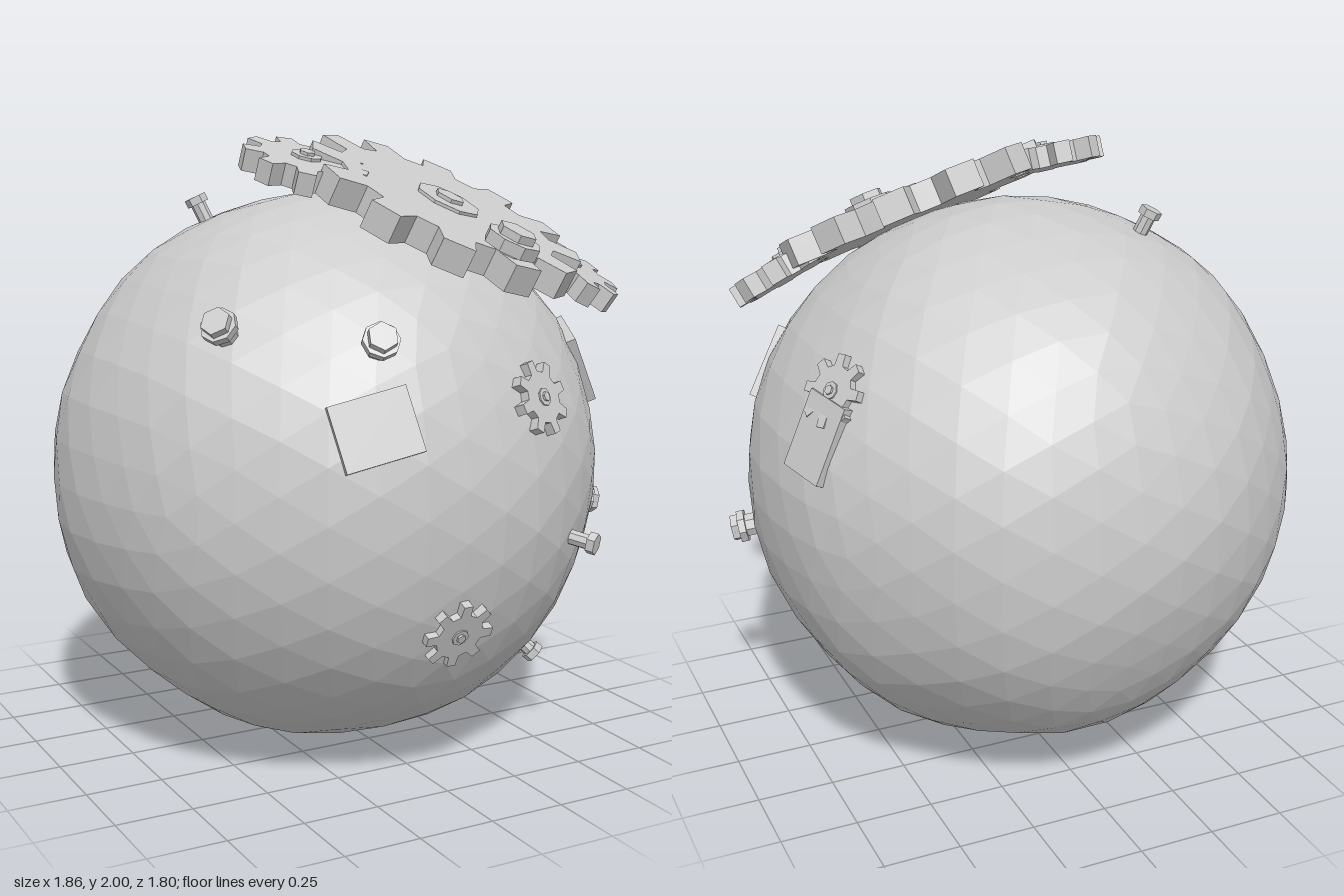
import * as THREE from 'three';

const CENTRE = new THREE.Vector3(-0.035, 0.91, 0);
const MAT = new THREE.MeshStandardMaterial({ color: 0xcccccc, flatShading: true });

function mesh(name, geometry, parent) {
  const m = new THREE.Mesh(geometry, MAT);
  m.name = name;
  parent.add(m);
  return m;
}

// Group at a point whose local +z follows the given normal, spun about it
function mount(name, pos, normal, spin, parent) {
  const g = new THREE.Group();
  g.name = name;
  g.position.set(...pos);
  g.lookAt(g.position.clone().add(new THREE.Vector3(...normal)));
  g.rotateZ(spin);
  parent.add(g);
  return g;
}

// Same, but placed on the body along a direction from its centre
function mountRadial(name, dir, dist, spin, parent) {
  const n = new THREE.Vector3(...dir).normalize();
  return mount(name, n.clone().multiplyScalar(dist).add(CENTRE).toArray(), n.toArray(), spin, parent);
}

// Prism along local z, from z0 to z1
function prism(name, r, sides, z0, z1, parent) {
  const geo = new THREE.CylinderGeometry(r, r, z1 - z0, sides);
  geo.rotateX(Math.PI / 2).translate(0, 0, (z0 + z1) / 2);
  return mesh(name, geo, parent);
}

// Square-toothed wheel, top face at local z = 0, one tooth along local +y
function gearGeometry(outer, root, teeth, width, thick) {
  const shape = new THREE.Shape();
  for (let i = 0; i < teeth; i++) {
    const a = Math.PI / 2 + (i / teeth) * Math.PI * 2;
    const half = width / 2;
    const corners = [[root, -half * 1.05], [outer, -half * 0.9], [outer, half * 0.9], [root, half * 1.05]];
    corners.forEach(([r, t], k) => {
      const x = r * Math.cos(a) - t * Math.sin(a);
      const y = r * Math.sin(a) + t * Math.cos(a);
      if (i === 0 && k === 0) shape.moveTo(x, y);
      else shape.lineTo(x, y);
    });
  }
  shape.closePath();
  const geo = new THREE.ExtrudeGeometry(shape, { depth: thick, bevelEnabled: false });
  return geo.translate(0, 0, -thick);
}

export function createModel() {
  const model = new THREE.Group();
  model.name = 'gearedSphere';

  // Lumpy faceted body
  const ball = new THREE.IcosahedronGeometry(1, 6);
  const p = ball.attributes.position;
  const v = new THREE.Vector3();
  for (let i = 0; i < p.count; i++) {
    v.fromBufferAttribute(p, i).normalize();
    const lump = Math.sin(7 * v.x + 3 * v.y) * Math.sin(6 * v.y - 4 * v.z) + Math.sin(9 * v.z + 5 * v.x + 1);
    v.multiplyScalar(0.909 + 0.005 * lump).add(CENTRE);
    p.setXYZ(i, v.x, v.y, v.z);
  }
  ball.computeVertexNormals();
  mesh('body', ball, model);

  // Large crown gear with stepped hub
  const big = mountRadial('largeGear', [0.257, 0.898, 0.364], 0.987, 0, model);
  mesh('largeGearWheel', gearGeometry(0.465, 0.365, 12, 0.115, 0.09), big);
  prism('largeGearWasher', 0.11, 8, -0.01, 0.01, big);
  prism('largeGearNut', 0.05, 6, 0, 0.022, big);

  // Bolt standing on the rim of the large gear
  const rimBolt = mount('rimBolt', [0.225, 1.675, 0.705], [0.257, 0.898, 0.364], 0, model);
  prism('rimBoltShaft', 0.05, 8, -0.1, 0.01, rimBolt);
  prism('rimBoltFlange', 0.088, 8, -0.01, 0.03, rimBolt);
  prism('rimBoltHead', 0.062, 6, 0.02, 0.055, rimBolt);

  // Two medium gears meshing with the large one
  const medium = [
    ['leftMediumGear', [0.64, 1.6, 0.43], [0.38, 0.84, 0.39], 0.2],
    ['rightMediumGear', [-0.225, 1.935, 0.24], [0.1, 0.95, 0.3], 0.3],
  ];
  for (const [name, pos, normal, spin] of medium) {
    const g = mount(name, pos, normal, spin, model);
    mesh(name + 'Wheel', gearGeometry(0.198, 0.142, 9, 0.062, 0.07), g);
    prism(name + 'Washer', 0.05, 8, -0.01, 0.01, g);
    prism(name + 'Nut', 0.026, 6, 0, 0.02, g);
  }

  // Small gears lying on the surface
  const small = [
    [[0.315, 0.31, 0.79], 0.2],
    [[0.011, -0.37, 0.82], 0],
    [[0.735, 0.46, -0.285], 0.1],
  ];
  for (const [dir, spin] of small) {
    const g = mountRadial('smallGear', dir, 0.925, spin, model);
    mesh('smallGearWheel', gearGeometry(0.115, 0.078, 8, 0.034, 0.045), g);
    prism('smallGearWasher', 0.028, 8, -0.01, 0.005, g);
    prism('smallGearNut', 0.015, 6, 0, 0.012, g);
  }

  // Rectangular patch plates
  const plates = [
    [[-0.26, 0.26, 0.79], 0.24, 0.2, 0.25],
    [[0.72, 0.34, 0.375], 0.17, 0.25, 0.38],
    [[0.79, 0.325, -0.295], 0.17, 0.25, -0.15],
  ];
  for (const [dir, w, h, spin] of plates) {
    const g = mountRadial('plate', dir, 0.89, spin, model);
    mesh('platePanel', new THREE.BoxGeometry(w, h, 0.07), g);
  }

  // Bolts sticking out of the body
  const bolts = [
    [[-0.6, 0.545, 0.49], 1],
    [[-0.225, 0.515, 0.77], 1],
    [[0.9, -0.17, 0.26], 1],
    [[-0.37, 0.87, -0.19], 0.62],
    [[0.51, -0.16, 0.78], 0.62],
    [[0.6, -0.645, 0.365], 0.62],
  ];
  for (const [dir, s] of bolts) {
    const g = mountRadial(s === 1 ? 'largeBolt' : 'smallBolt', dir, 0.985, 0, model);
    prism('boltShaft', 0.04 * s, 8, -0.14, 0, g);
    if (s === 1) {
      prism('boltFlange', 0.057, 8, -0.042, -0.018, g);
      prism('boltHead', 0.046, 6, -0.018, 0.006, g);
    } else {
      prism('boltHead', 0.036, 6, -0.024, 0.002, g);
    }
  }

  return model;
}
